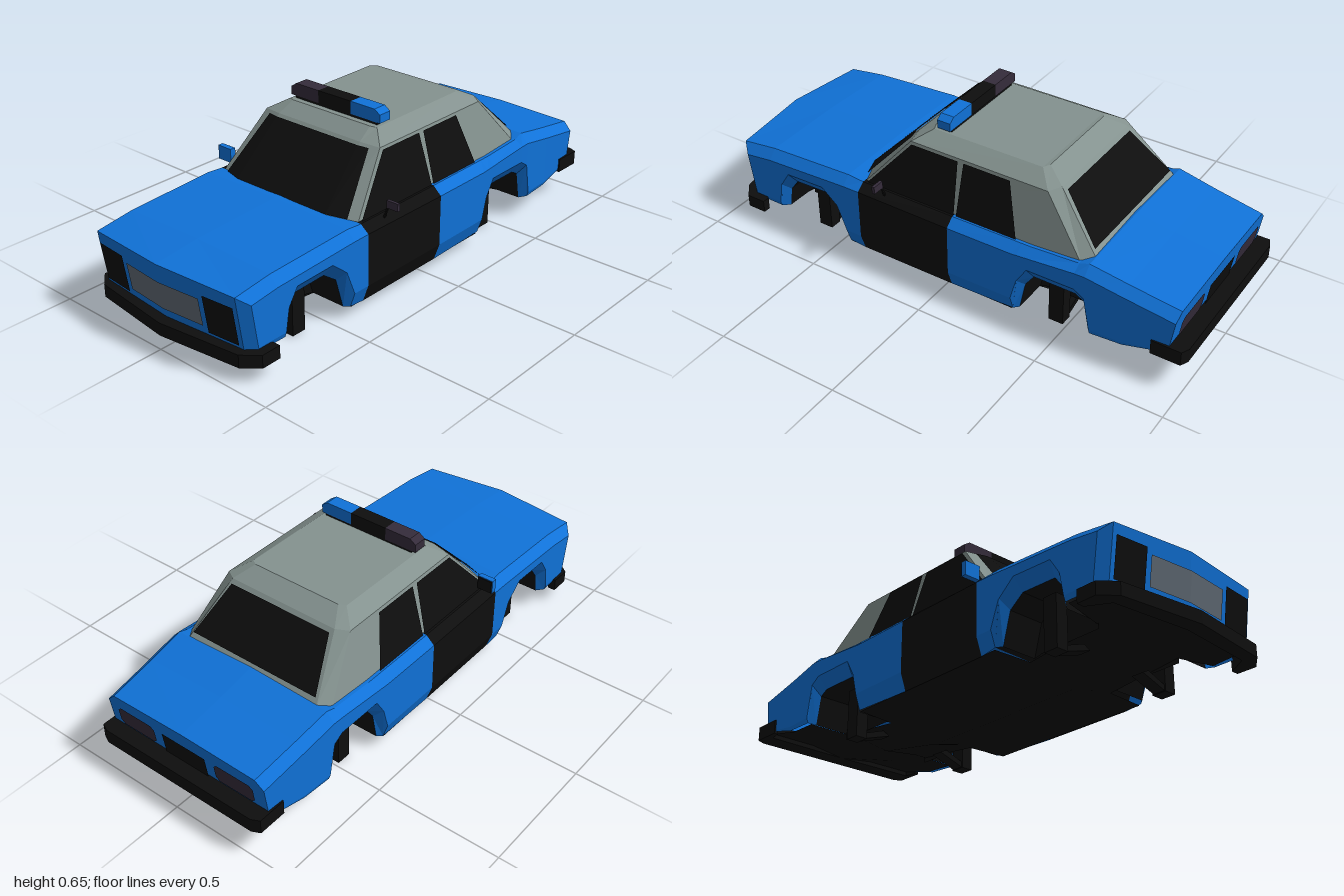
import * as THREE from 'three';

const mat = (name, color) => {
  const m = new THREE.MeshStandardMaterial({ color, side: THREE.DoubleSide, flatShading: true });
  m.name = name;
  return m;
};

// Flat-shaded surface through rows of [x, y, z] points
function loft(rows) {
  const pos = [];
  for (let i = 0; i < rows.length - 1; i++)
    for (let j = 0; j < rows[i].length - 1; j++) {
      const a = rows[i][j], b = rows[i][j + 1], c = rows[i + 1][j + 1], d = rows[i + 1][j];
      pos.push(...a, ...b, ...c, ...a, ...c, ...d);
    }
  const g = new THREE.BufferGeometry();
  g.setAttribute('position', new THREE.Float32BufferAttribute(pos, 3));
  g.computeVertexNormals();
  return g;
}

// Linear lookup in a list of [z, value], z falling
function lerpKeys(keys, z) {
  for (let i = 0; i < keys.length - 1; i++) {
    const [z0, v0] = keys[i], [z1, v1] = keys[i + 1];
    if (z >= z1) return v0 + (v1 - v0) * Math.max(0, (z0 - z) / (z0 - z1));
  }
  return keys[keys.length - 1][1];
}

const extrude = (pts, depth) => new THREE.ExtrudeGeometry(
  new THREE.Shape(pts.map(p => new THREE.Vector2(...p))), { depth, bevelEnabled: false });
const mirrorRow = half => [...half, ...half.slice(0, -1).reverse().map(([x, y, z]) => [-x, y, z])];

// Body lines along z: deck height, shoulder crease, half width
const deckY = [[0.97, 0.305], [0.8, 0.332], [0.4, 0.35], [0.36, 0.343], [-0.55, 0.345], [-0.6, 0.37], [-0.95, 0.303]];
const creaseY = [[0.97, 0.275], [0.8, 0.295], [0.4, 0.315], [-0.3, 0.31], [-0.6, 0.335], [-0.95, 0.27]];
const halfW = [[0.97, 0.378], [0.36, 0.384], [-0.045, 0.384], [-0.6, 0.38], [-0.95, 0.362]];
const sideX = (z, y) => lerpKeys(halfW, z) - Math.max(0, 0.11 - y) * 0.35;

// Wheel arch outlines [z, y]
const frontArch = [[0.766, 0.09], [0.75, 0.2], [0.71, 0.262], [0.54, 0.268], [0.47, 0.21], [0.43, 0.05]];
const rearArch = [[-0.315, 0.05], [-0.34, 0.2], [-0.38, 0.265], [-0.57, 0.265], [-0.61, 0.24], [-0.635, 0.09]];

const noseZ = (x, y) => {
  const a = Math.abs(x);
  const z = a < 0.345 ? 0.985 - 0.03 * a / 0.345 : 0.955 - (a - 0.345);
  return z - (0.3 - y) * 0.15;
};
const tailZ = (x, y) => -0.93 - (y - 0.13) * 0.145;

function section([z, yb]) {
  const w = lerpKeys(halfW, z), top = lerpKeys(deckY, z);
  const half = [[sideX(z, yb), yb, z], [w, Math.max(yb + 0.005, 0.11), z],
    [w, lerpKeys(creaseY, z), z], [w - 0.035, top, z], [0, top + 0.008, z]];
  const end = z > 0.9 ? noseZ : z < -0.9 ? tailZ : null;
  return mirrorRow(half.map(([x, y]) => [x, y, end ? end(x, y) : z]));
}

export function createModel() {
  const model = new THREE.Group();
  const blue = mat('blue paint', 0x1072d8), black = mat('black', 0x0e0e0e), grey = mat('grey roof', 0x84928f);
  const steel = mat('grille grey', 0x616b76), plum = mat('dark plum', 0x352c3b);
  const body = new THREE.Group();
  body.name = 'car';
  body.position.x = -0.012;
  model.add(body);
  const add = (name, geo, m, parent = body) => {
    const mesh = new THREE.Mesh(geo, m);
    mesh.name = name;
    parent.add(mesh);
    return mesh;
  };
  const box = (name, m, w, h, d, x, y, z, parent) =>
    add(name, new THREE.BoxGeometry(w, h, d), m, parent).position.set(x, y, z);

  // Painted shell in three lengths; the doors are black
  const front = [[0.93, 0.09], [0.8, 0.09], ...frontArch, [0.36, 0.042]].map(section);
  const rear = [[-0.045, 0.042], ...rearArch, [-0.76, 0.095], [-0.93, 0.14]].map(section);
  add('frontBody', loft(front), blue);
  add('doors', loft([front.at(-1), rear[0]]), black);
  add('rearBody', loft(rear), blue);

  // Nose and tail panels closing the shell
  const close = (row, y0, endZ) => loft([row, row.map(([x]) => [x, y0, endZ(x, y0)])]);
  add('nosePanel', close(front[0].slice(2, -2), 0.09, noseZ), blue);
  add('tailPanel', close(rear.at(-1).slice(2, -2), 0.13, tailZ), blue);

  // Lamps, grille and plate lying on the end panels
  const patch = (xs, y0, y1, endZ, off) => loft([y0, y1].map(y => xs.map(x => [x, y, endZ(x, y) + off])));
  add('grille', patch([-0.18, 0, 0.18], 0.14, 0.25, noseZ, 0.006), steel);
  add('numberPlate', patch([-0.1, 0.1], 0.165, 0.262, tailZ, -0.006), black);
  for (const s of [1, -1]) {
    add('headlight', patch([0.2 * s, 0.332 * s], 0.12, 0.27, noseZ, 0.006), black);
    const lamp = new THREE.Shape([[0.14, 0.2], [0.155, 0.185], [0.3, 0.185], [0.315, 0.2], [0.315, 0.25],
      [0.3, 0.265], [0.155, 0.265], [0.14, 0.25]].map(([x, y]) => new THREE.Vector2(x * s, y)));
    const g = new THREE.ShapeGeometry(lamp), p = g.attributes.position;
    for (let i = 0; i < p.count; i++) p.setZ(i, tailZ(0, p.getY(i)) - 0.006);
    g.computeVertexNormals();
    add('tailLight', g, plum);
  }

  // Wheel arches: painted lip, black well, axle stub and strut
  for (const s of [1, -1])
    for (const [arch, zc, stubZ] of [[frontArch, 0.6, 0.617], [rearArch, -0.475, -0.454]]) {
      const inner = arch.map(([z, y]) => [zc + (z - zc) * 0.88, 0.06 + (y - 0.06) * 0.76]);
      const lip = inner.map(([z, y]) => [0.345 * s, y, z]);
      const well = inner.map(([z, y]) => [0.2 * s, y, z]);
      add('archLip', loft([arch.map(([z, y]) => [sideX(z, y) * s, y, z]), lip]), blue);
      add('wheelWell', loft([lip, well, well.map(([x, y, z]) => [x, Math.min(y, 0.06), z])]), black);
      box('axleStub', black, 0.05, 0.2, 0.06, 0.266 * s, 0.1, stubZ);
      const strut = extrude([[0.25, 0], [0.25, 0.022], [0.16, 0.055], [0.13, 0.04]].map(([x, y]) => [x * s, y]), 0.05);
      add('strut', strut.translate(0, 0, stubZ - 0.025), black);
    }

  // Underside: [z, half width, edge height, keel height]
  add('underside', loft([
    [0.93, 0.35, 0.095, 0.085], [0.768, 0.36, 0.09, 0.07], [0.74, 0.2, 0.08, 0.055], [0.43, 0.2, 0.047, 0.006],
    [0.425, 0.36, 0.045, 0.004], [-0.31, 0.36, 0.045, 0.004], [-0.33, 0.2, 0.047, 0.01], [-0.61, 0.2, 0.08, 0.06],
    [-0.635, 0.355, 0.09, 0.07], [-0.76, 0.35, 0.095, 0.085], [-0.93, 0.345, 0.135, 0.115],
  ].map(([z, w, y, k]) => mirrorRow([[w, y, z], [0.15, y, z], [0, k, z]]))), black);

  // Bumpers, extruded from their plan
  const bumper = (name, half, y0, y1, x) => {
    const plan = [...half, ...half.slice().reverse().map(([a, b]) => [-a, b])];
    const g = extrude(plan, y1 - y0).rotateX(Math.PI / 2).translate(x, y1, 0);
    add(name, g, black);
  };
  bumper('frontBumper', [[0, 0.94], [0.32, 0.91], [0.37, 0.83], [0.4, 0.83], [0.4, 0.91], [0.34, 0.96], [0, 1]], 0.055, 0.105, 0.012);
  bumper('rearBumper', [[0, -0.925], [0.345, -0.92], [0.355, -0.87], [0.372, -0.87], [0.372, -0.985], [0.34, -1], [0, -1]], 0.115, 0.172, 0);

  // Cabin: rings at belt, eave and roof edge, closed by the roof
  const ring = pts => {
    const r = [...pts, ...pts.slice().reverse().map(([x, y, z]) => [-x, y, z])];
    return [...r, r[0]];
  };
  const roofRing = ring([[0.19, 0.592, 0.13], [0.215, 0.59, 0.12], [0.215, 0.592, -0.34], [0.19, 0.594, -0.355]]);
  add('cabin', loft([
    ring([[0.22, 0.345, 0.4], [0.335, 0.338, 0.36], [0.335, 0.34, -0.575], [0.3, 0.36, -0.612]]),
    ring([[0.2, 0.555, 0.195], [0.28, 0.55, 0.18], [0.28, 0.55, -0.4], [0.235, 0.555, -0.43]]),
    roofRing,
  ]), grey);
  add('roof', loft([roofRing.slice(0, 4), roofRing.slice(4, 8).reverse()]), grey);

  // Windows as thin faces on the cabin
  add('windscreen', loft([
    [[-0.3, 0.35, 0.376], [-0.22, 0.353, 0.402], [0.22, 0.353, 0.402], [0.3, 0.35, 0.376]],
    [[-0.245, 0.545, 0.2], [-0.2, 0.547, 0.21], [0.2, 0.547, 0.21], [0.245, 0.545, 0.2]],
  ]), black);
  add('rearWindow', loft([
    [[-0.285, 0.388, -0.596], [0.285, 0.388, -0.596]],
    [[-0.225, 0.545, -0.447], [0.225, 0.545, -0.447]],
  ]), black);
  for (const s of [1, -1]) {
    const pane = (name, b0, b1, t0, t1) => {
      const at = (y, z) => [s * (0.34 - (y - 0.345) * 0.268), y, z];
      add(name, loft([[at(0.343, b0), at(0.343, b1)], [at(0.542, t0), at(0.542, t1)]]), black);
    };
    pane('frontSideWindow', 0.345, -0.045, 0.172, -0.03);
    pane('rearSideWindow', -0.055, -0.31, -0.055, -0.25);
  }

  // Roof light bar with sloped outer ends
  box('lightBarBase', black, 0.4, 0.014, 0.05, 0, 0.597, 0.078);
  const lamp = (name, pts, m) => add(name, extrude(pts, 0.056).translate(0, 0, 0.05), m);
  lamp('rightLamp', [[-0.22, 0.6], [-0.083, 0.6], [-0.083, 0.65], [-0.195, 0.65], [-0.22, 0.633]], plum);
  lamp('middleLamp', [[-0.083, 0.6], [0.077, 0.6], [0.077, 0.65], [-0.083, 0.65]], black);
  lamp('leftLamp', [[0.077, 0.6], [0.216, 0.6], [0.216, 0.633], [0.191, 0.65], [0.077, 0.65]], blue);

  // Door mirrors, one of each kind
  const rightMirror = new THREE.Group(), leftMirror = new THREE.Group();
  rightMirror.name = 'rightMirror';
  leftMirror.name = 'leftMirror';
  body.add(rightMirror, leftMirror);
  box('mirrorShell', blue, 0.066, 0.056, 0.022, -0.37, 0.381, 0.312, rightMirror);
  box('mirrorGlass', black, 0.06, 0.05, 0.006, -0.37, 0.381, 0.299, rightMirror);
  box('mirrorHead', plum, 0.05, 0.03, 0.012, 0.402, 0.39, 0.25, leftMirror);
  const stem = add('mirrorStem', new THREE.BoxGeometry(0.006, 0.07, 0.008), black, leftMirror);
  stem.position.set(0.37, 0.353, 0.25);
  stem.rotation.z = -0.35;

  return model;
}
